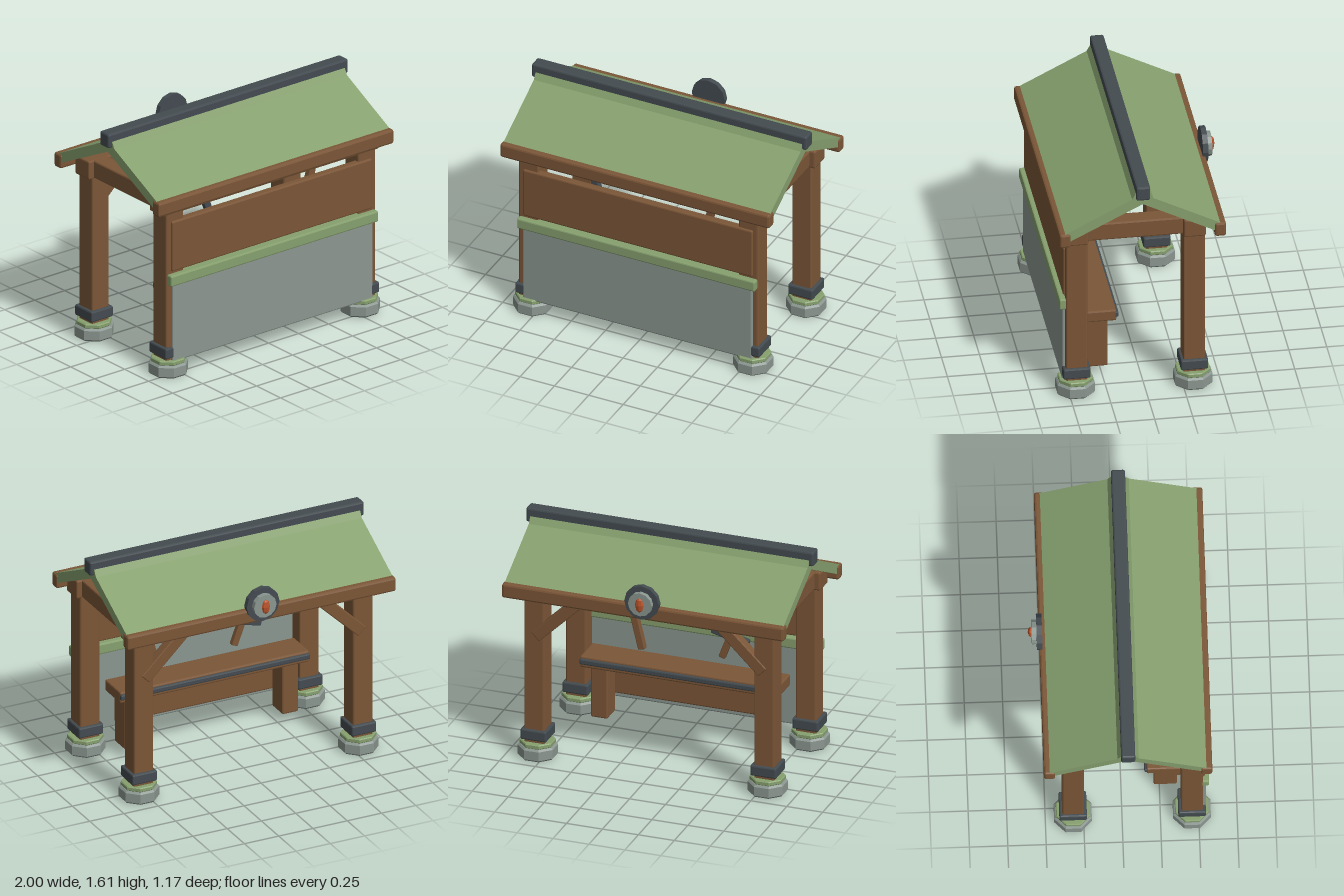
import * as THREE from 'three';
import { RoundedBoxGeometry } from 'three/addons/geometries/RoundedBoxGeometry.js';

const mat = (color) => new THREE.MeshStandardMaterial({ color, flatShading: true });

export function createModel() {
  const wood = mat(0x7b5637), green = mat(0x86a06e), iron = mat(0x434b50);
  const stone = mat(0x8b9690), orange = mat(0xb8532a);
  const model = new THREE.Group();
  model.name = 'shelter';

  function add(name, geometry, material, x = 0, y = 0, z = 0) {
    const mesh = new THREE.Mesh(geometry, material);
    mesh.name = name;
    mesh.position.set(x, y, z);
    model.add(mesh);
    return mesh;
  }

  // Softly bevelled box given by its extents on each axis
  function block(name, material, [x0, x1], [y0, y1], [z0, z1], bevel = 0.01) {
    const w = x1 - x0, h = y1 - y0, d = z1 - z0;
    const r = Math.min(bevel, Math.min(w, h, d) * 0.3);
    return add(name, new RoundedBoxGeometry(w, h, d, 1, r), material, (x0 + x1) / 2, (y0 + y1) / 2, (z0 + z1) / 2);
  }

  // Bar leaning in the x-y plane from a to b
  function leaning(name, material, a, b, width, z0, z1) {
    const dx = b[0] - a[0], dy = b[1] - a[1];
    const mesh = block(name, material, [-width / 2, width / 2], [0, Math.hypot(dx, dy)], [z0, z1], 0.006);
    mesh.position.set((a[0] + b[0]) / 2, (a[1] + b[1]) / 2, (z0 + z1) / 2);
    mesh.rotation.z = Math.atan2(-dx, dy);
    return mesh;
  }

  // Eight-sided bevelled slab; r is the half width across flats
  function octagon(name, material, r, y0, y1, x, z, bevel) {
    const k = r / Math.cos(Math.PI / 8);
    const profile = [[0, y0], [k - bevel, y0], [k, y0 + bevel], [k, y1 - bevel], [k - bevel, y1], [0, y1]];
    const points = profile.map((p) => new THREE.Vector2(...p));
    add(name, new THREE.LatheGeometry(points, 8, Math.PI / 8), material, x, 0, z);
  }

  // Prism along x with a z-y outline
  function prism(name, material, outline, length) {
    const shape = new THREE.Shape(outline.map((p) => new THREE.Vector2(...p)));
    const geometry = new THREE.ExtrudeGeometry(shape, { depth: length, bevelEnabled: false });
    geometry.translate(0, 0, -length / 2).rotateY(-Math.PI / 2);
    return add(name, geometry, material);
  }

  // Posts with footings and iron collars
  for (const x of [-0.8, 0.8]) {
    for (const z of [0.455, -0.32]) {
      octagon('footing', stone, 0.123, 0, 0.087, x, z, 0.012);
      octagon('footingPad', green, 0.11, 0.085, 0.117, x, z, 0.006);
      block('post', wood, [x - 0.071, x + 0.071], [0.1, 1.2], [z - 0.071, z + 0.071]);
      block('postCollar', iron, [x - 0.09, x + 0.09], [0.135, 0.21], [z - 0.09, z + 0.09]);
    }
    block('sideBeam', wood, [x - 0.06, x + 0.06], [1.15, 1.274], [-0.34, 0.47]);
    // Knee brace at the open back
    const s = Math.sign(x);
    leaning('kneeBrace', wood, [s * 0.79, 0.88], [s * 0.47, 1.19], 0.08, -0.4, -0.33);
    block('benchLeg', wood, [s * 0.575 - 0.058, s * 0.575 + 0.058], [0.067, 0.44], [0.213, 0.365]);
  }

  // Long beams and eaves
  for (const z of [0.455, -0.32])
    block('longBeam', wood, [-0.9, 0.9], [1.145, 1.275], [z - 0.073, z + 0.073]);
  for (const z of [0.547, -0.477])
    block('eaveBeam', wood, [-0.98, 0.98], [1.18, 1.28], [z - 0.037, z + 0.037], 0.014);

  // Roof, flashing and ridge
  const c = 0.035;
  prism('roof', green, [
    [c, 1.464], [c + 0.5, 1.212], [c + 0.53, 1.27], [c, 1.54], [c - 0.53, 1.27], [c - 0.5, 1.212],
  ], 1.94);
  prism('ridgeFlashing', green, [
    [c - 0.075, 1.495], [c + 0.075, 1.495], [c + 0.04, 1.56], [c - 0.04, 1.56],
  ], 1.94);
  block('ridgeCap', iron, [-1, 1], [1.505, 1.605], [c - 0.046, c + 0.046], 0.012);

  // Front wall
  block('lowerPanel', stone, [-0.835, 0.835], [0.105, 0.67], [0.49, 0.546]);
  block('upperPanel', wood, [-0.835, 0.835], [0.743, 1.097], [0.485, 0.54]);
  block('wallRail', green, [-0.865, 0.865], [0.65, 0.727], [0.48, 0.567]);
  block('rackBar', iron, [-0.6, 0.6], [0.91, 0.98], [0.43, 0.49]);

  // Bench
  block('benchSeat', wood, [-0.69, 0.69], [0.435, 0.515], [0.165, 0.39]);
  block('benchEdge', iron, [-0.69, 0.69], [0.46, 0.5], [0.15, 0.18]);
  block('benchBackBoard', wood, [-0.62, 0.62], [0.195, 0.44], [0.355, 0.4]);

  // Leaning staff and hanging iron tool
  leaning('staff', wood, [0.33, 0.54], [0.49, 1.2], 0.05, 0.345, 0.39);
  leaning('toolBar', iron, [-0.29, 0.745], [-0.5, 1.305], 0.05, 0.338, 0.375);
  leaning('toolCrosspiece', iron, [-0.42, 0.71], [-0.165, 0.775], 0.045, 0.32, 0.365);
  leaning('toolGrip', wood, [-0.29, 0.74], [-0.23, 0.578], 0.045, 0.332, 0.372);

  // Round emblem on the back eave
  const disc = (name, material, r, z0, z1) =>
    add(name, new THREE.CylinderGeometry(r, r, z1 - z0, 12).rotateX(Math.PI / 2), material, 0, 1.31, (z0 + z1) / 2);
  disc('emblemPlate', iron, 0.12, -0.53, -0.494);
  disc('emblemBoss', stone, 0.082, -0.562, -0.53);
  const gem = add('emblemGem', new THREE.SphereGeometry(1, 8, 4), orange, 0, 1.31, -0.57);
  gem.scale.set(0.03, 0.052, 0.017);

  return model;
}
